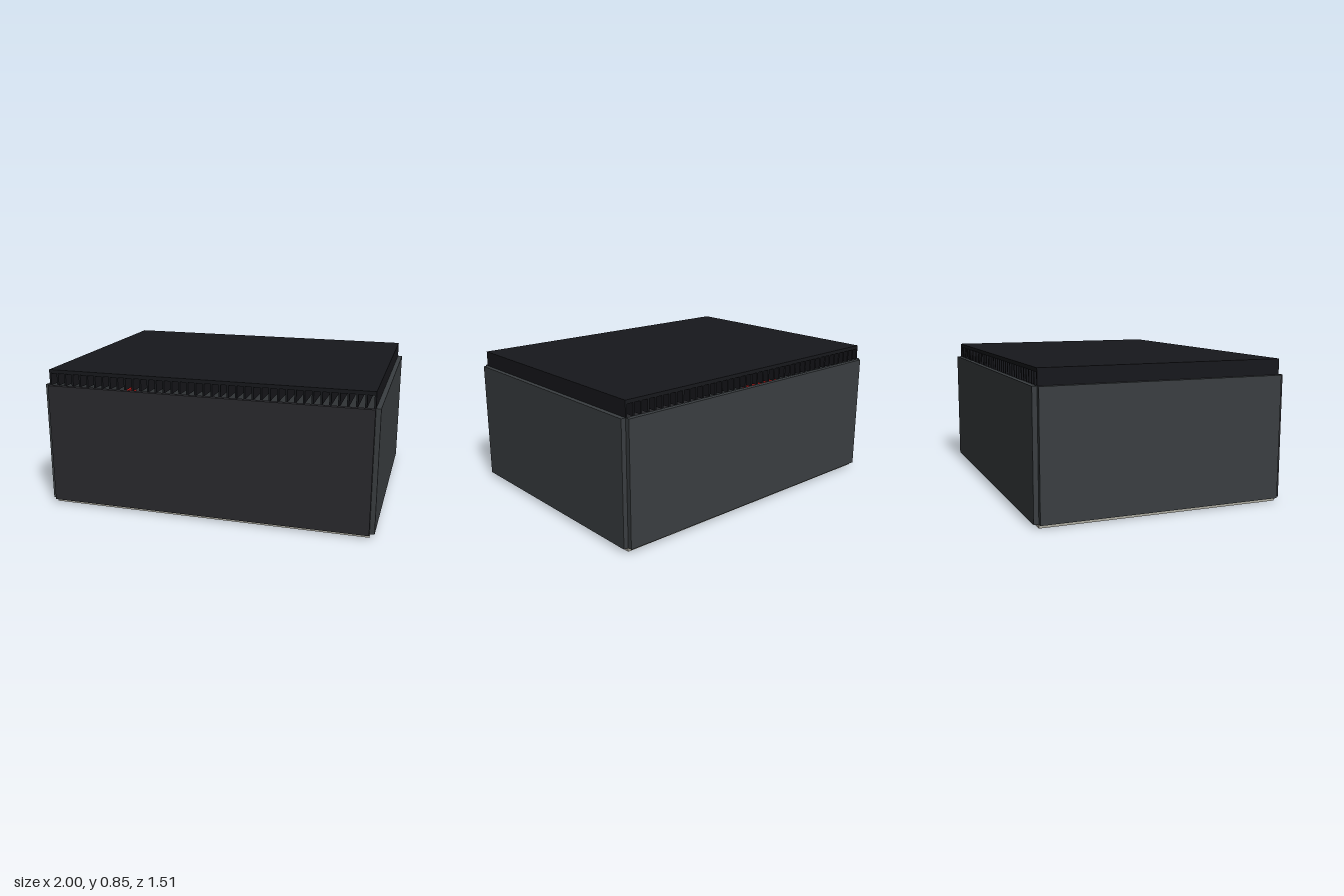
import * as THREE from 'three';

const material = (color) => new THREE.MeshStandardMaterial({ color });

export function createModel() {
  const model = new THREE.Group();
  const black = material(0x17181c);
  const frontGrey = material(0x2a2a2e);
  const panelGrey = material(0x3a3e41);
  const metal = material(0xaaa89e);
  const red = material(0xb01c1c);

  const box = (name, size, position, mat, parent = model) => {
    const mesh = new THREE.Mesh(new THREE.BoxGeometry(...size), mat);
    mesh.name = name;
    mesh.position.set(...position);
    parent.add(mesh);
    return mesh;
  };

  // Base plate and the four wall panels, leaving notched corners
  box('basePlate', [1.944, 0.022, 1.456], [0, 0.011, 0], metal);
  box('frontPanel', [1.944, 0.73, 0.028], [0, 0.387, 0.742], frontGrey);
  box('backPanel', [1.944, 0.73, 0.028], [0, 0.387, -0.742], panelGrey);
  for (const side of [1, -1]) {
    box(side > 0 ? 'leftPanel' : 'rightPanel', [0.028, 0.73, 1.456], [side * 0.986, 0.387, 0], panelGrey);
  }

  // Heat sink lid: a flat plate with fins running front to back
  const heatSink = new THREE.Group();
  heatSink.name = 'heatSink';
  model.add(heatSink);
  box('lidPlate', [1.944, 0.022, 1.456], [0, 0.834, 0], black, heatSink);
  const finCount = 41, finWidth = 0.011;
  for (let i = 0; i < finCount; i++) {
    const x = (i / (finCount - 1) - 0.5) * (1.944 - finWidth);
    box('coolingFin', [finWidth, 0.073, 1.456], [x, 0.7865, 0], black, heatSink);
  }

  // Thin cross bar threaded through the fins
  box('crossBar', [1.6, 0.008, 0.03], [0, 0.778, 0], metal, heatSink);

  // Red module inside, against the side wall
  box('innerModule', [0.04, 0.45, 0.7], [-0.95, 0.247, -0.08], red);

  return model;
}
